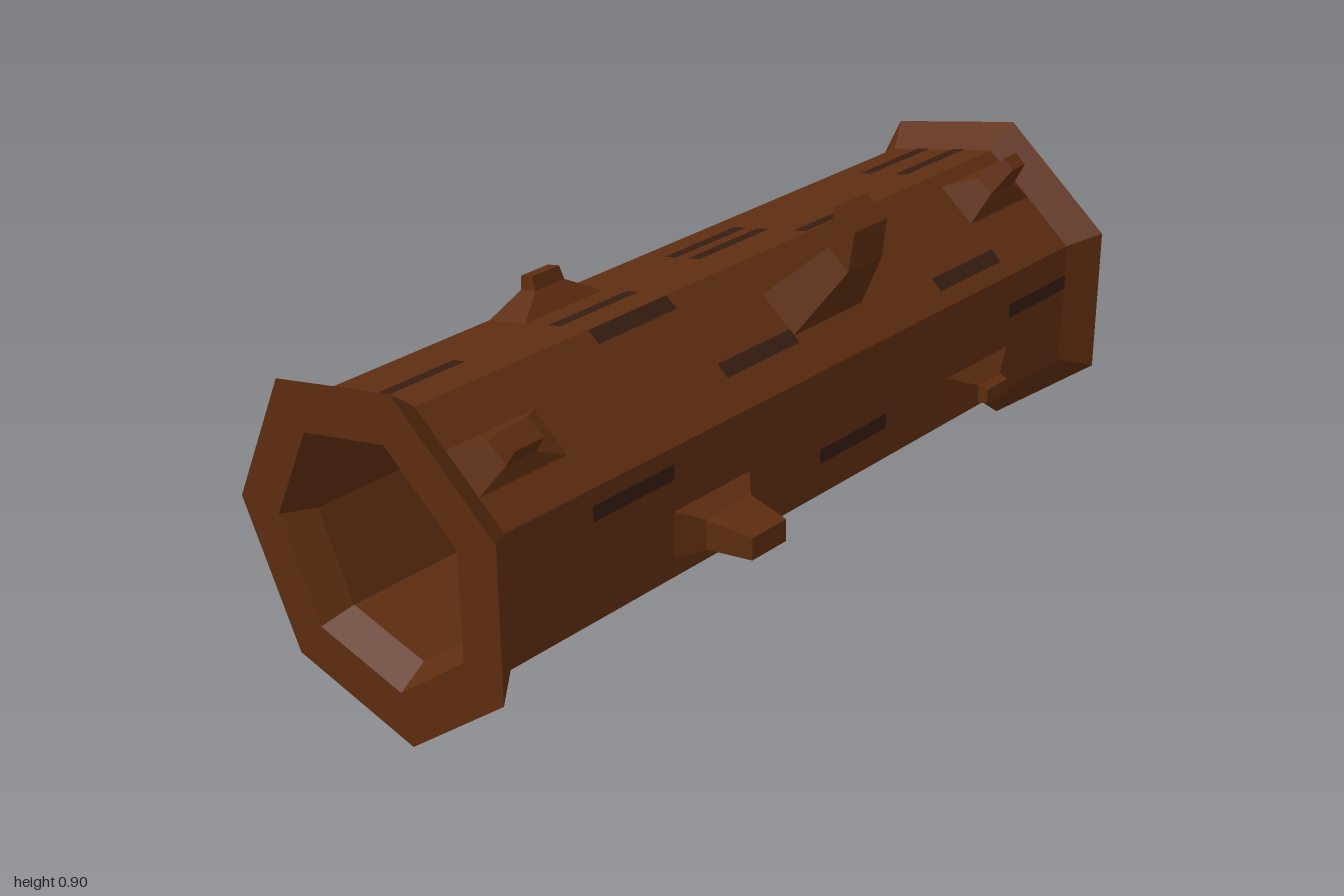
import * as THREE from 'three';

const SIDES = 7;
const R = 0.346;                                  // trunk radius
const APOTHEM = R * Math.cos(Math.PI / SIDES);
const COL = 0.2325;                               // bark column width
const colX = (i) => -0.93 + (i + 0.5) * COL;

const bark = new THREE.MeshStandardMaterial({ color: 0x5e2d10, flatShading: true });
const darkBark = new THREE.MeshStandardMaterial({ color: 0x351d11, flatShading: true });

function named(geometry, material, name) {
  const mesh = new THREE.Mesh(geometry, material);
  mesh.name = name;
  return mesh;
}

// Closed seven-sided tube with flared ends and chamfered openings
function hollowTrunk() {
  const profile = [
    [0.285, -1], [0.405, -1], [R, -0.93], [R, 0.93], [0.405, 1],
    [0.285, 1], [0.247, 0.93], [0.247, -0.93], [0.285, -1],
  ].map(([r, y]) => new THREE.Vector2(r, y));
  const geo = new THREE.LatheGeometry(profile, SIDES, Math.PI).toNonIndexed();
  geo.rotateZ(-Math.PI / 2);
  geo.computeVertexNormals();
  return geo;
}

// Four-sided loft; each ring is [height, width in x, depth in z, z shift]
function stubGeometry(rings) {
  const n = rings.length - 1;
  const box = new THREE.BoxGeometry(1, 1, 1, 1, n, 1);
  const p = box.attributes.position;
  for (let i = 0; i < p.count; i++) {
    const [h, w, d, shift = 0] = rings[Math.round((p.getY(i) + 0.5) * n)];
    p.setXYZ(i, p.getX(i) * w, h, p.getZ(i) * d + shift);
  }
  const geo = box.toNonIndexed();
  geo.computeVertexNormals();
  return geo;
}

const BASE = [0, COL, 0.112];
const shortStub = (h) => [BASE, [h * 0.6, 0.085, 0.045], [h, 0.08, 0.035]];

// Per trunk side (k steps round from the front): stubs and bark marks,
// each placed by column and by offset across the side
const sides = [
  {
    k: 0,
    stubs: [
      [2, -0.053, [BASE, [0.045, 0.14, 0.07], [0.155, 0.105, 0.052]]],
      [6, -0.09, shortStub(0.06)],
    ],
    marks: [[1, 0.095], [4, -0.055], [7, 0.057]],
  },
  {
    k: 1,
    stubs: [
      // tall bent branch
      [4, 0.005, [BASE, [0.183, 0.115, 0.07], [0.263, 0.11, 0.07, -0.048]]],
      [7, 0.06, [BASE, [0.045, 0.09, 0.05], [0.125, 0.05, 0.035]]],
      [0, -0.01, [BASE, [0.025, 0.08, 0.06], [0.07, 0.075, 0.05]]],
    ],
    marks: [[3, -0.053], [6, -0.093], [2, 0.13]],
  },
  {
    k: 2,
    stubs: [[2, 0.094, shortStub(0.077)]],
    marks: [[0, -0.016], [2, -0.052], [4, 0.056], [4, -0.016], [7, 0.056], [7, -0.052], [5, -0.128]],
  },
  {
    k: 3,
    stubs: [[6, 0.032, shortStub(0.06)]],
    marks: [[1, -0.018], [4, 0.062], [4, -0.088], [6, -0.053], [7, 0.03]],
  },
  {
    k: 4,
    stubs: [
      [3, -0.091, shortStub(0.075)],
      [0, 0.022, [BASE, [0.05, 0.085, 0.055], [0.12, 0.078, 0.042]]],
    ],
    marks: [[1, -0.05], [2, 0.06], [4, 0.055], [6, -0.02]],
  },
  { k: 5, stubs: [], marks: [[1, 0.02], [4, -0.055], [5, 0.06], [7, -0.02]] },
  { k: 6, stubs: [], marks: [[0, 0.016], [2, 0.016], [5, 0.016], [7, 0.09], [4, -0.13]] },
];

export function createModel() {
  const log = new THREE.Group();
  log.name = 'hollowLog';

  const trunk = new THREE.Group();
  trunk.name = 'trunk';
  trunk.position.set(0, 0.398, -0.033);
  trunk.add(named(hollowTrunk(), bark, 'trunkShell'));
  log.add(trunk);

  const markGeo = new THREE.PlaneGeometry(COL, 0.036).rotateX(-Math.PI / 2);

  for (const { k, stubs, marks } of sides) {
    // Local y points out of the side, local x runs along the log
    const side = new THREE.Group();
    side.name = `trunkSide${k + 1}`;
    side.rotation.x = Math.PI / 2 - (k * 2 * Math.PI) / SIDES;
    for (const [col, t, rings] of stubs) {
      const stub = named(stubGeometry(rings), bark, 'branchStub');
      stub.position.set(colX(col), APOTHEM, -t);
      side.add(stub);
    }
    for (const [col, t] of marks) {
      const mark = named(markGeo, darkBark, 'barkMark');
      mark.position.set(colX(col), APOTHEM + 0.002, -t);
      side.add(mark);
    }
    trunk.add(side);
  }
  return log;
}
